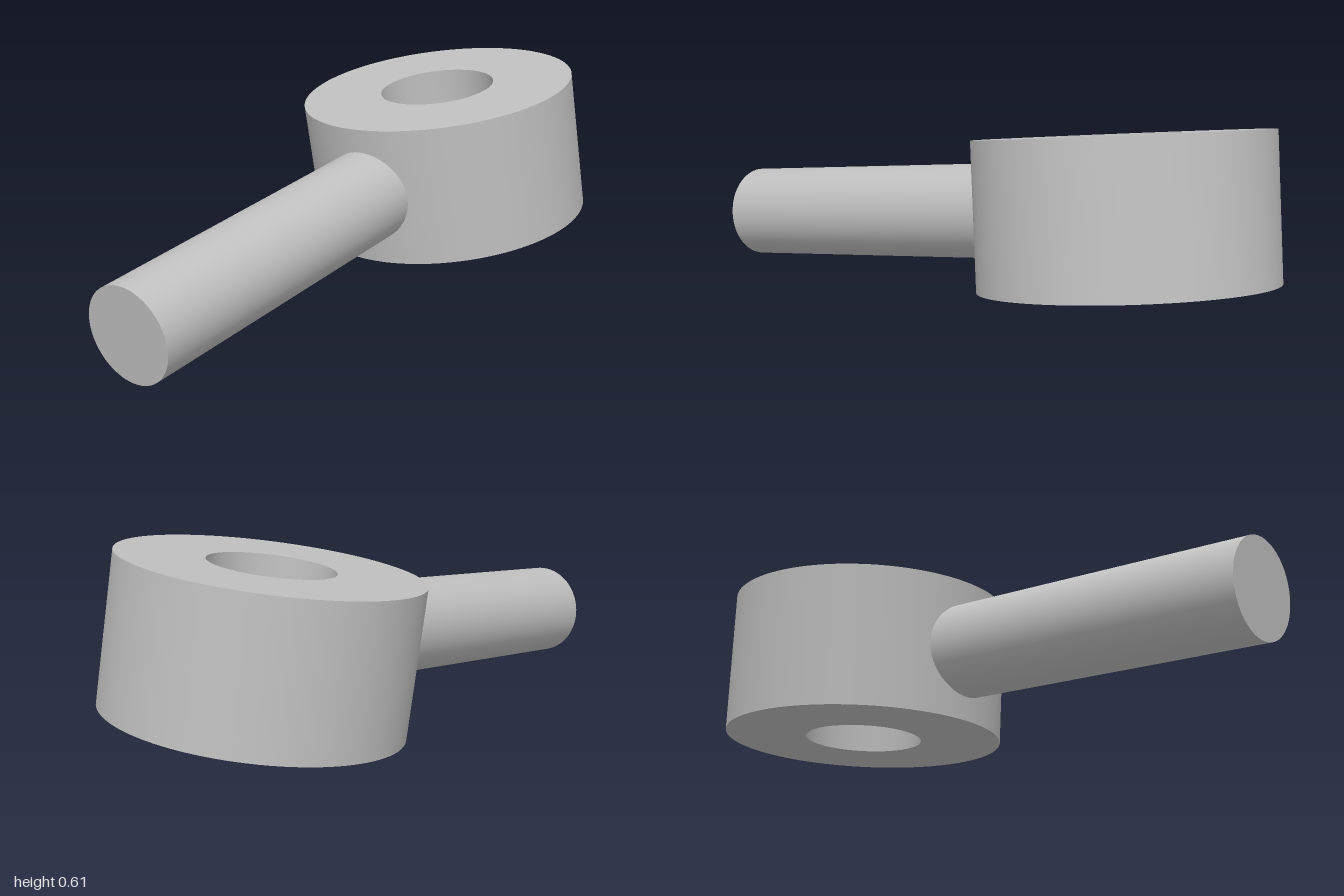
import * as THREE from 'three';
import { toCreasedNormals } from 'three/addons/utils/BufferGeometryUtils.js';

export function createModel() {
  const steel = new THREE.MeshStandardMaterial({ color: 0xc0c0c0 });
  steel.name = 'grey steel';

  const outerRadius = 0.452, holeRadius = 0.19, height = 0.453;
  const rodRadius = 0.15, rodStart = 0.4, rodEnd = 1.52;

  // Thick ring with a through hole, its axis along local y
  const outline = new THREE.Shape().absarc(0, 0, outerRadius, 0, Math.PI * 2, false);
  outline.holes.push(new THREE.Path().absarc(0, 0, holeRadius, 0, Math.PI * 2, true));
  const ringGeometry = new THREE.ExtrudeGeometry(outline, {
    depth: height, bevelEnabled: false, curveSegments: 48,
  });
  ringGeometry.translate(0, 0, -height / 2).rotateX(-Math.PI / 2);
  const ring = new THREE.Mesh(toCreasedNormals(ringGeometry, Math.PI / 6), steel);
  ring.name = 'ring';

  // Round shank along local z, its inner end sunk into the ring wall
  const rodGeometry = new THREE.CylinderGeometry(rodRadius, rodRadius, rodEnd - rodStart, 64);
  rodGeometry.rotateX(Math.PI / 2).translate(0, 0, (rodStart + rodEnd) / 2);
  const shank = new THREE.Mesh(rodGeometry, steel);
  shank.name = 'shank';

  // Tilt the whole eye bolt: ring axis up, shank towards the front
  const up = new THREE.Vector3(-0.04, 0.448, 0.05).normalize();
  const side = up.clone().cross(new THREE.Vector3(-0.058, -0.178, 1.508)).normalize();
  const front = side.clone().cross(up);

  const group = new THREE.Group();
  group.name = 'eyeBolt';
  group.add(ring, shank);
  group.quaternion.setFromRotationMatrix(new THREE.Matrix4().makeBasis(side, up, front));
  group.position.set(0, 0.329, -0.525);

  const model = new THREE.Group();
  model.add(group);
  return model;
}
